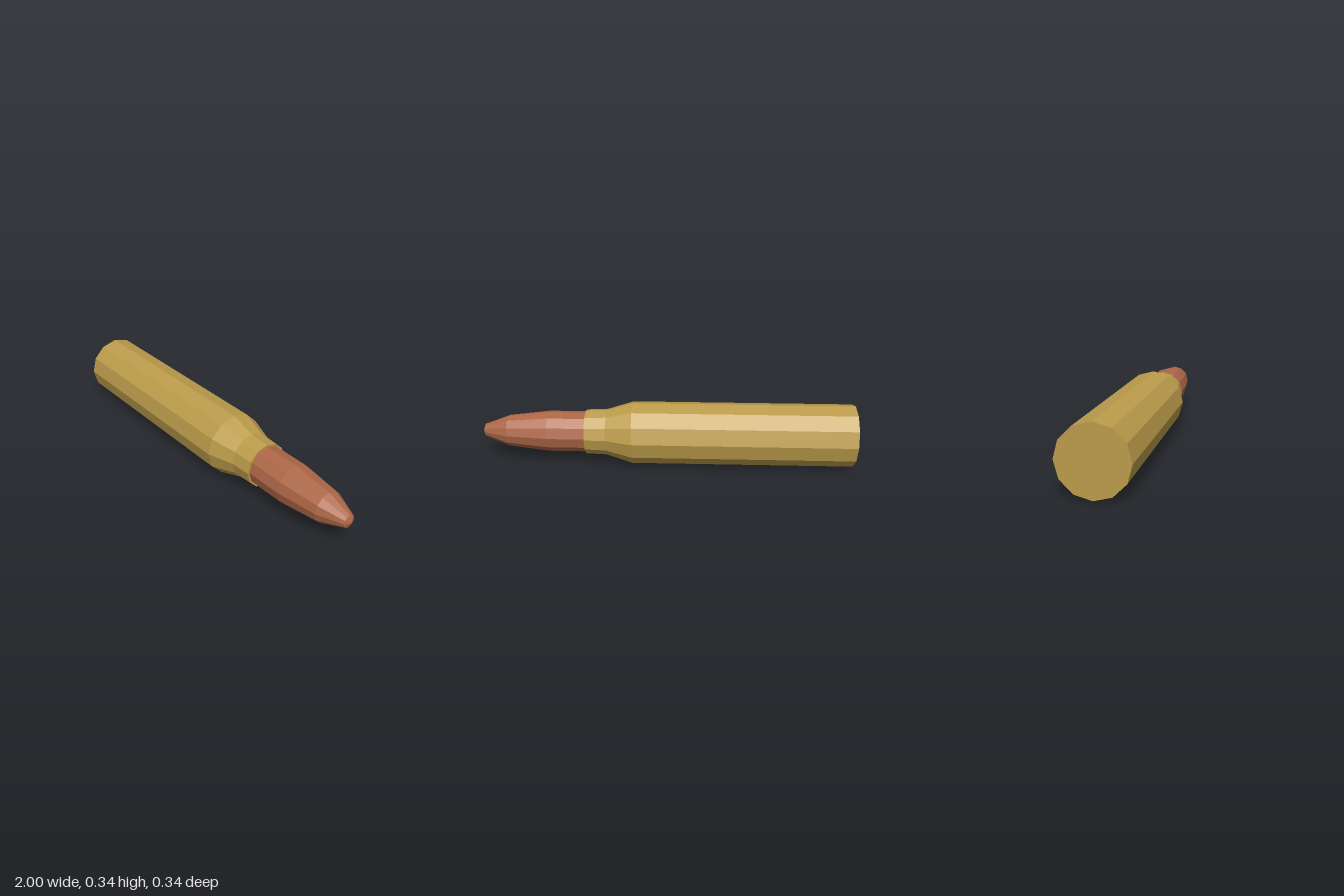
import * as THREE from 'three';

const SIDES = 12;
const AXIS_Y = 0.17;

const brass = new THREE.MeshStandardMaterial({ color: 0xbc9c4b, flatShading: true });
brass.name = 'brass';
const copper = new THREE.MeshStandardMaterial({ color: 0xad6747, flatShading: true });
copper.name = 'copper';

// Turns a profile of [x, radius] points about the long horizontal axis
function turned(name, profile, material) {
  const points = profile.map(([x, r]) => new THREE.Vector2(r, x));
  const geometry = new THREE.LatheGeometry(points, SIDES);
  geometry.rotateZ(-Math.PI / 2);
  geometry.translate(0, AXIS_Y, 0);
  const mesh = new THREE.Mesh(geometry, material);
  mesh.name = name;
  return mesh;
}

export function createModel() {
  const group = new THREE.Group();
  group.name = 'cartridge';

  // Casing: flat base, straight body, sloped shoulder, neck and open mouth rim
  group.add(turned('casing', [
    [-1, 0], [-1, 0.168], [0.18, 0.168], [0.32, 0.125], [0.433, 0.12], [0.433, 0.108],
  ], brass));

  // Bullet: seated slightly inside the mouth, tapering to a shallow blunt tip
  group.add(turned('bullet', [
    [0.42, 0.11], [0.635, 0.11], [0.855, 0.084], [0.985, 0.034], [1, 0],
  ], copper));

  return group;
}
